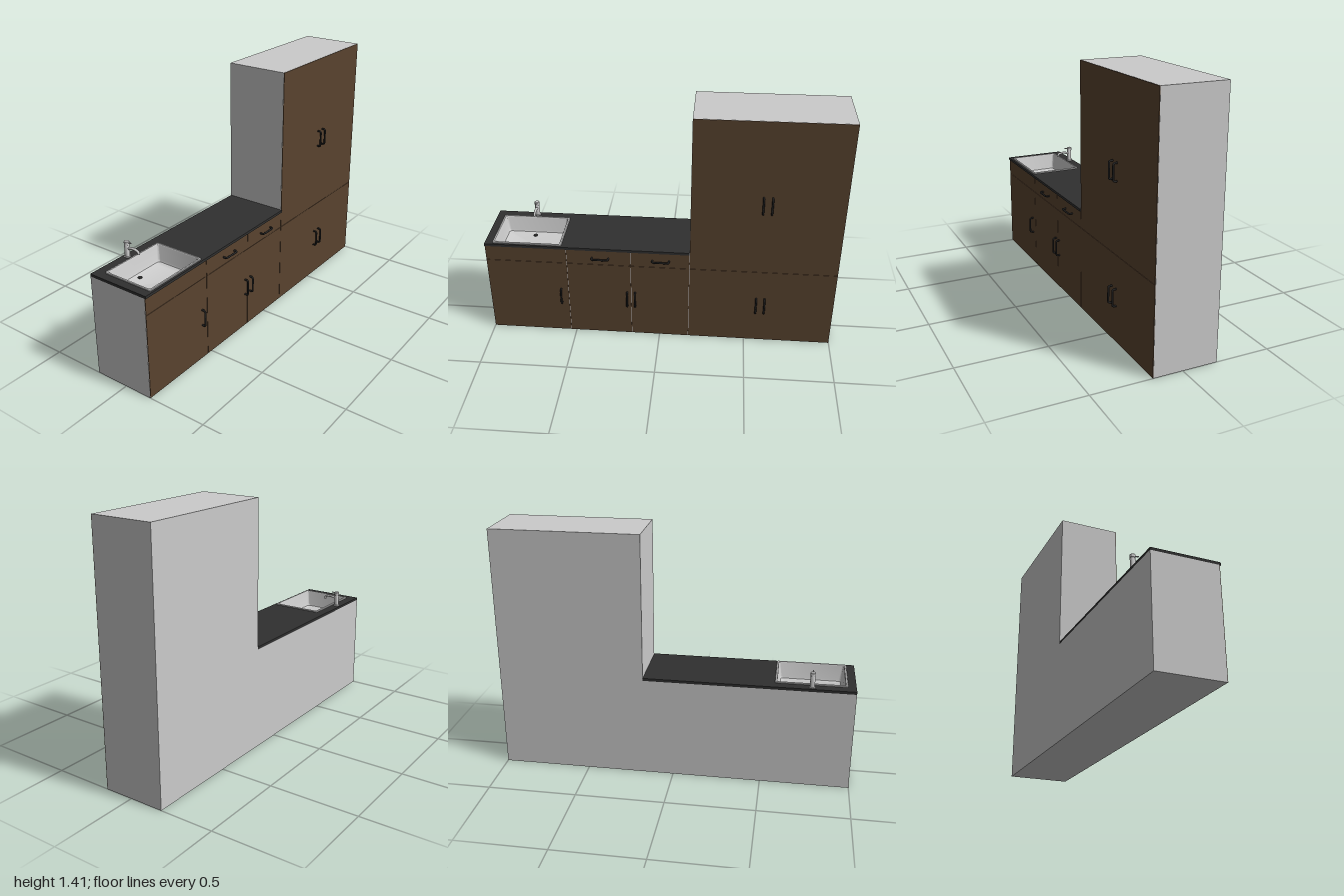
import * as THREE from 'three';
import { toCreasedNormals } from 'three/addons/utils/BufferGeometryUtils.js';

const mat = (color) => new THREE.MeshStandardMaterial({ color });
const grey = mat(0xcccccc);
const wood = mat(0x59432f);
const stone = mat(0x303030);
const black = mat(0x242424);
const metal = new THREE.MeshStandardMaterial({ color: 0xcccccc, side: THREE.DoubleSide });

const BACK = -0.195, FACE = 0.163, FRONT = 0.166;
const LOW = 0.58, TALL = 1.41, STEP = -0.17, SPLIT = 0.485;

function add(parent, name, geometry, material, x = 0, y = 0, z = 0) {
  const mesh = new THREE.Mesh(geometry, material);
  mesh.name = name;
  mesh.position.set(x, y, z);
  parent.add(mesh);
  return mesh;
}

// Side silhouette given as [z, y] points, extruded along x
function slab(points, x0, x1) {
  const shape = new THREE.Shape(points.map(([z, y]) => new THREE.Vector2(-z, y)));
  return new THREE.ExtrudeGeometry(shape, { depth: x1 - x0, bevelEnabled: false })
    .rotateY(Math.PI / 2).translate(x0, 0, 0);
}

// Rounded rectangle loop, counter-clockwise seen from above
function ring(x0, x1, z0, z1, r, y) {
  const pts = [];
  const corners = [[x1 - r, z0 + r], [x0 + r, z0 + r], [x0 + r, z1 - r], [x1 - r, z1 - r]];
  corners.forEach(([cx, cz], k) => {
    for (let i = 0; i <= 4; i++) {
      const a = (k + i / 4) * Math.PI / 2;
      pts.push([cx + r * Math.cos(a), y, cz - r * Math.sin(a)]);
    }
  });
  return pts;
}

// Skin through loops running from the outer rim to the closed floor
function loft(rings) {
  const n = rings[0].length, index = [];
  for (let k = 0; k < rings.length - 1; k++) {
    for (let i = 0; i < n; i++) {
      const a = k * n + i, b = k * n + (i + 1) % n;
      index.push(a, b, b + n, a, b + n, a + n);
    }
  }
  const last = (rings.length - 1) * n;
  for (let i = 1; i < n - 1; i++) index.push(last, last + i, last + i + 1);
  const g = new THREE.BufferGeometry();
  g.setAttribute('position', new THREE.Float32BufferAttribute(rings.flat(2), 3));
  g.setIndex(index);
  return toCreasedNormals(g, 0.5);
}

// Bow handle standing out from the front, upright or lying
function handle(parent, name, y, z, lying = false) {
  const L = 0.047, out = 0.021, r = 0.011;
  const v = (x, t) => new THREE.Vector3(x, t, 0);
  const path = new THREE.CurvePath();
  path.add(new THREE.LineCurve3(v(-0.002, -L), v(out - r, -L)));
  path.add(new THREE.QuadraticBezierCurve3(v(out - r, -L), v(out, -L), v(out, -L + r)));
  path.add(new THREE.LineCurve3(v(out, -L + r), v(out, L - r)));
  path.add(new THREE.QuadraticBezierCurve3(v(out, L - r), v(out, L), v(out - r, L)));
  path.add(new THREE.LineCurve3(v(out - r, L), v(-0.002, L)));
  const m = add(parent, name, new THREE.TubeGeometry(path, 48, 0.0055, 8), black, FRONT, y, z);
  if (lying) m.rotation.x = Math.PI / 2;
}

export function createModel() {
  const model = new THREE.Group();
  model.name = 'kitchenUnit';

  // Carcass in three slices, the middle one cut out for the basin
  const carcass = new THREE.Group();
  carcass.name = 'carcass';
  model.add(carcass);
  const outline = [[1, 0], [-1, 0], [-1, TALL], [STEP, TALL], [STEP, LOW]];
  const notch = [[0.565, LOW], [0.565, 0.49], [0.95, 0.49], [0.95, LOW]];
  const plain = [...outline, [1, LOW]];
  add(carcass, 'carcassBack', slab(plain, BACK, -0.135), grey);
  add(carcass, 'carcassMiddle', slab([...outline, ...notch, [1, LOW]], -0.135, 0.152), grey);
  add(carcass, 'carcassFront', slab(plain, 0.152, FACE), grey);

  // Door and drawer fronts as [name, z0, z1, y0, y1]
  const gap = 0.0018;
  const fronts = [
    ['sinkDoor', 0.532, 1, 0, SPLIT], ['sinkPanel', 0.532, 1, SPLIT, LOW],
    ['leftDoor', 0.165, 0.532, 0, SPLIT], ['leftDrawer', 0.165, 0.532, SPLIT, LOW],
    ['rightDoor', STEP, 0.165, 0, SPLIT], ['rightDrawer', STEP, 0.165, SPLIT, LOW],
    ['tallLowerDoors', -1, STEP, 0, SPLIT], ['tallUpperDoors', -1, STEP, SPLIT, TALL],
  ];
  for (const [name, z0, z1, y0, y1] of fronts) {
    const g = new THREE.BoxGeometry(FRONT - FACE, y1 - y0 - gap, z1 - z0 - gap * 1.5);
    add(model, name, g, wood, (FACE + FRONT) / 2, (y0 + y1) / 2, (z0 + z1) / 2);
  }

  // Handles
  for (const z of [0.575, 0.188, 0.142, -0.557, -0.605]) handle(model, 'doorHandle', 0.253, z);
  for (const z of [-0.557, -0.605]) handle(model, 'upperDoorHandle', 0.922, z);
  for (const z of [0.338, -0.007]) handle(model, 'drawerHandle', 0.531, z, true);

  // Worktop with the basin opening
  const rect = (T, x0, x1, z0, z1) => new T([[x0, -z1], [x1, -z1], [x1, -z0], [x0, -z0]]
    .map(([x, y]) => new THREE.Vector2(x, y)));
  const top = rect(THREE.Shape, BACK, 0.171, STEP, 1);
  top.holes.push(rect(THREE.Path, -0.133, 0.151, 0.567, 0.947));
  const topGeo = new THREE.ExtrudeGeometry(top, { depth: 0.015, bevelEnabled: false });
  add(model, 'worktop', topGeo.rotateX(-Math.PI / 2), stone, 0, LOW, 0);

  // Sink: raised rim, small inner step, tapering walls, flat floor
  const level = (inset, y, r) =>
    ring(-0.141, 0.159, 0.56, 0.955, r, y).map(([x, h, z]) => [
      0.009 + (x - 0.009) * (1 - inset / 0.15), h, 0.7575 + (z - 0.7575) * (1 - inset / 0.1975)]);
  add(model, 'sink', loft([
    level(0, 0.594, 0.008), level(0, 0.6, 0.008), level(0.002, 0.602, 0.008),
    level(0.01, 0.602, 0.008), level(0.013, 0.597, 0.01), level(0.022, 0.515, 0.015),
    level(0.026, 0.505, 0.018), level(0.036, 0.5, 0.02),
  ]), metal);
  add(model, 'drain', new THREE.CylinderGeometry(0.013, 0.013, 0.003, 24), black, -0.085, 0.501, 0.765);

  // Tap: column, cap with lever, drooping spout
  const tap = new THREE.Group();
  tap.name = 'tap';
  tap.position.set(-0.169, 0.595, 0.762);
  model.add(tap);
  const column = [[0, 0], [0.017, 0], [0.017, 0.004], [0.0135, 0.006], [0.0135, 0.068],
    [0.0125, 0.07], [0.0145, 0.072], [0.0145, 0.087], [0.012, 0.09], [0, 0.09]]
    .map(([x, y]) => new THREE.Vector2(x, y));
  add(tap, 'tapColumn', toCreasedNormals(new THREE.LatheGeometry(column, 24), 0.6), metal);
  const lever = add(tap, 'tapLever', new THREE.CylinderGeometry(0.003, 0.003, 0.03, 10), metal, 0.018, 0.083, 0);
  lever.rotation.z = -Math.PI / 2 + 0.2;
  const spout = new THREE.CatmullRomCurve3([[0.005, 0.048], [0.03, 0.056], [0.06, 0.056],
    [0.077, 0.05], [0.082, 0.037]].map(([x, y]) => new THREE.Vector3(x, y, 0)));
  add(tap, 'tapSpout', new THREE.TubeGeometry(spout, 24, 0.007, 12), metal);
  const nozzle = add(tap, 'tapNozzle', new THREE.CylinderGeometry(0.006, 0.006, 0.002, 12), black, 0.082, 0.037, 0);
  nozzle.rotation.z = 0.25;

  return model;
}
